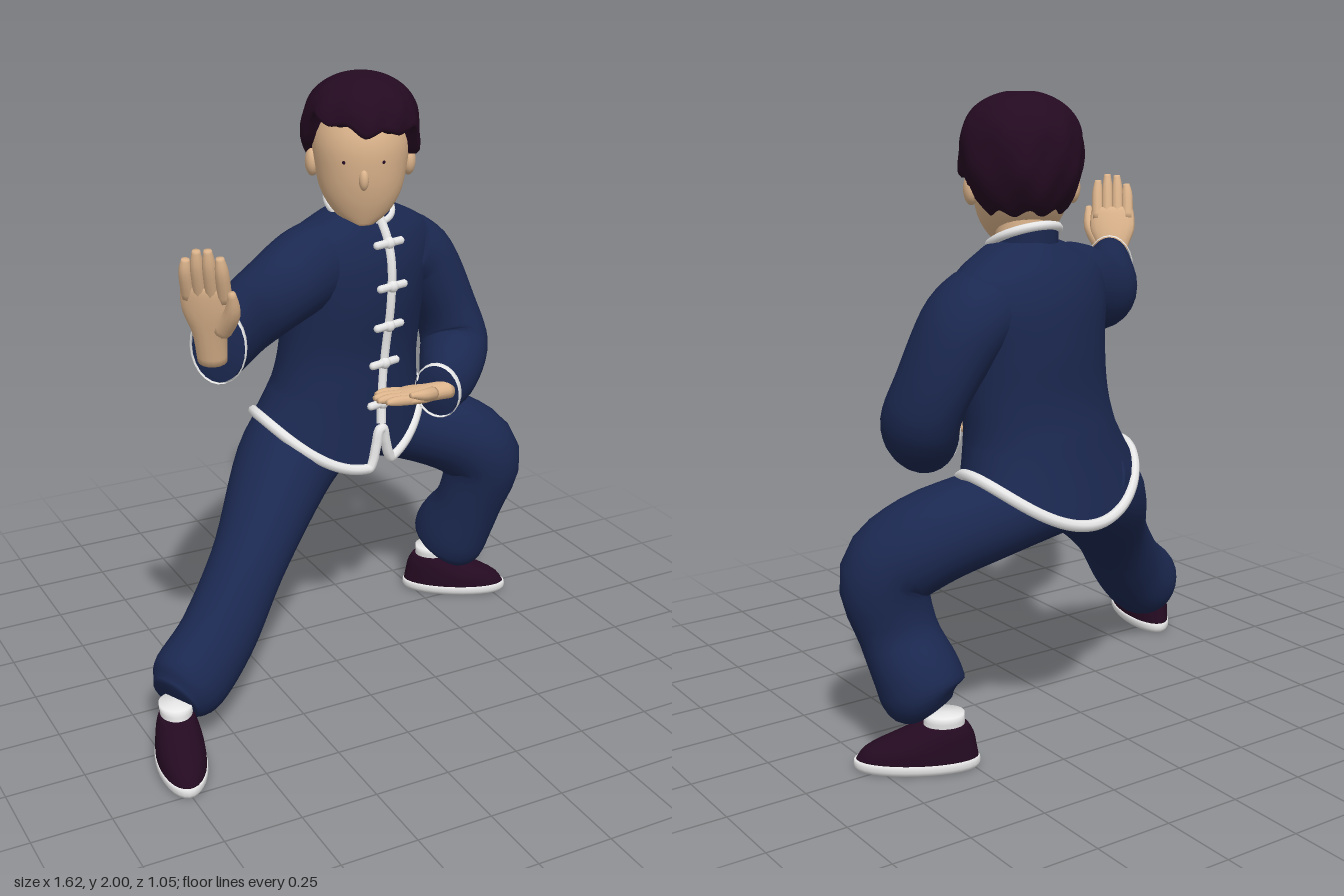
import * as THREE from 'three';

const mat = (name, color, side = THREE.FrontSide) => {
  const m = new THREE.MeshStandardMaterial({ color, side });
  m.name = name;
  return m;
};
const V = (x, y, z) => new THREE.Vector3(x, y, z);
const FRONT = -Math.PI / 2 + 0.11; // jacket opening, slightly to the left

// Catmull-Rom sampling of a table of rows, t from 0 to 1
function sample(rows, t) {
  const k = Math.min(Math.max(t, 0), 1) * (rows.length - 1);
  const i = Math.min(Math.floor(k), rows.length - 2), f = k - i;
  const at = j => rows[Math.min(Math.max(j, 0), rows.length - 1)];
  return rows[0].map((_, c) => {
    const [p, q, r, s] = [at(i - 1)[c], at(i)[c], at(i + 1)[c], at(i + 2)[c]];
    return q + 0.5 * f * (r - p + f * (2 * p - 5 * q + 4 * r - s + f * (3 * (q - r) + s - p)));
  });
}

// Closed rings joined into a smooth skin; optional caps at both ends
function skin(nu, nv, fn, caps = true) {
  const pos = [], idx = [], rings = [];
  for (let i = 0; i <= nu; i++) {
    rings.push(Array.from({ length: nv }, (_, j) => fn(i / nu, (j / nv) * Math.PI * 2)));
  }
  if (caps) {
    const closeRing = r => {
      const c = r.reduce((s, p) => s.add(p), V(0, 0, 0)).divideScalar(nv);
      return r.map(() => c.clone());
    };
    rings.unshift(closeRing(rings[0]));
    rings.push(closeRing(rings[rings.length - 1]));
  }
  rings.forEach(r => r.forEach(p => pos.push(p.x, p.y, p.z)));
  for (let i = 0; i < rings.length - 1; i++) {
    for (let j = 0; j < nv; j++) {
      const a = i * nv + j, b = i * nv + (j + 1) % nv, c = a + nv, d = b + nv;
      idx.push(a, b, c, b, d, c);
    }
  }
  const g = new THREE.BufferGeometry();
  g.setAttribute('position', new THREE.Float32BufferAttribute(pos, 3));
  g.setIndex(idx);
  g.computeVertexNormals();
  return g;
}

// Limb along rows of [x, y, z, side radius, other radius]
function limb(rows, ref, nu = 28, nv = 24, caps = true) {
  return skin(nu, nv, (t, a) => {
    const r = sample(rows, t), p = sample(rows, t - 0.02), q = sample(rows, t + 0.02);
    const T = V(q[0] - p[0], q[1] - p[1], q[2] - p[2]).normalize();
    const S = ref.clone().cross(T).normalize(), W = T.clone().cross(S);
    return V(r[0], r[1], r[2]).addScaledVector(S, Math.cos(a) * r[3]).addScaledVector(W, Math.sin(a) * r[4]);
  }, caps);
}

// Upright stack of ovals from rows of [y, centre x, centre z, radius x, radius z]
const oval = (r, a) => V(r[1] + Math.cos(a) * r[3], r[0], r[2] - Math.sin(a) * r[4]);
const stack = (rows, nu = 20, nv = 32) => skin(nu, nv, (t, a) => oval(sample(rows, t), a));

export function createModel() {
  const navy = mat('navy cloth', 0x1b2850, THREE.DoubleSide), white = mat('white trim', 0xeeeeee, THREE.DoubleSide);
  const skinTone = mat('skin', 0xdcb48c), plum = mat('dark plum', 0x240a21);
  const model = new THREE.Group();
  const add = (name, geo, material, parent = model) => {
    const m = new THREE.Mesh(geo, material);
    m.name = name;
    parent.add(m);
    return m;
  };
  const cord = (name, pts, r, closed = false) => add(name,
    new THREE.TubeGeometry(new THREE.CatmullRomCurve3(pts, closed), pts.length * 2, r, 8, closed), white);

  // Jacket body with a curved hem and a front slit
  const rows = [
    [0.80, 0.13, -0.26, 0.325, 0.26], [0.98, 0.15, -0.24, 0.285, 0.215], [1.10, 0.165, -0.23, 0.275, 0.2],
    [1.25, 0.175, -0.22, 0.28, 0.205], [1.38, 0.18, -0.215, 0.3, 0.195], [1.47, 0.18, -0.21, 0.275, 0.165],
    [1.53, 0.18, -0.2, 0.175, 0.125], [1.56, 0.18, -0.19, 0.1, 0.1]];
  const jacket = (t, a) => {
    const p = oval(sample(rows, t), a);
    const d = Math.abs(Math.atan2(Math.sin(a - FRONT), Math.cos(a - FRONT)));
    let hem = 0.885 - (Math.sin(a) < 0 ? 0.19 : 0.165) * Math.sin(a) ** 2;
    if (d < 0.13) hem = THREE.MathUtils.lerp(0.86, hem, d / 0.13);
    p.y += (hem - 0.8) * Math.max(0, 1 - t * 7);
    p.z -= 0.2 * (p.x - 0.18);
    return p;
  };
  add('jacketBody', skin(42, 144, jacket, false), navy);
  cord('hemTrim', Array.from({ length: 144 }, (_, i) => jacket(0.01, (i / 144) * Math.PI * 2)), 0.018, true);

  // Front closure with knotted fasteners
  cord('frontTrim', Array.from({ length: 16 }, (_, i) => jacket(i / 16, FRONT)), 0.017);
  [0.6, 1.67, 2.6, 3.54, 4.9].forEach(k => {
    const p = jacket(k / 7, FRONT).add(V(0, 0, 0.008));
    const bar = add('fastenerBar', new THREE.CapsuleGeometry(0.014, 0.1, 4, 8), white);
    bar.position.copy(p);
    bar.rotation.set(0, 0.25, Math.PI / 2, 'YXZ');
    const knot = add('fastenerKnot', new THREE.SphereGeometry(0.021, 10, 8), white);
    knot.position.copy(p);
  });

  // Collar, higher at the back
  const collar = (t, a) => V(0.18 + Math.cos(a) * 0.105, 1.5 + t * (0.065 + 0.045 * Math.sin(a)),
    -0.19 - Math.sin(a) * 0.105);
  add('collar', skin(4, 32, collar, false), navy);
  cord('collarTrim', Array.from({ length: 32 }, (_, i) => collar(1, (i / 32) * Math.PI * 2)), 0.014, true);
  add('neck', stack([[1.5, 0.18, -0.19, 0.09, 0.09], [1.58, 0.175, -0.18, 0.085, 0.085],
    [1.68, 0.17, -0.17, 0.09, 0.09]], 6), skinTone);

  // Sleeves with thin white cuffs around the opening
  const Y = V(0, 1, 0), Z = V(0, 0, 1);
  const sleeve = (side, arm, ref) => {
    add(side + 'Sleeve', limb(arm, ref), navy);
    const a = sample(arm, 0.965), b = arm[arm.length - 1];
    const grow = (r, s) => [r[0], r[1], r[2], r[3] + s, r[4] + s];
    const end = grow(b, 0.004);
    for (let c = 0; c < 3; c++) end[c] += (b[c] - a[c]) * 0.4;
    add(side + 'Cuff', limb([grow(a, 0.005), grow(b, 0.008), end], ref, 6, 24, false), white);
  };
  sleeve('right', [[0.1, 1.41, -0.2, 0.13, 0.13], [-0.05, 1.385, -0.13, 0.13, 0.14],
    [-0.2, 1.345, -0.05, 0.12, 0.125], [-0.35, 1.335, 0.08, 0.1, 0.12],
    [-0.47, 1.345, 0.23, 0.085, 0.12], [-0.55, 1.35, 0.33, 0.077, 0.108]], Y);
  sleeve('left', [[0.36, 1.38, -0.25, 0.13, 0.15], [0.45, 1.32, -0.26, 0.125, 0.15],
    [0.535, 1.15, -0.23, 0.105, 0.14], [0.55, 1.03, -0.18, 0.11, 0.13],
    [0.47, 0.955, -0.08, 0.105, 0.1], [0.375, 0.94, 0.01, 0.09, 0.072]], Z);

  // Hands: fingers along local y, palm towards local z
  const hand = (name, wrist, dir, palm, thumb, size) => {
    const g = new THREE.Group();
    g.name = name;
    const y = dir.normalize(), x = y.clone().cross(palm).normalize(), z = x.clone().cross(y);
    g.quaternion.setFromRotationMatrix(new THREE.Matrix4().makeBasis(x, y, z));
    g.position.copy(wrist);
    g.scale.setScalar(size);
    add('palm', limb([[0, -0.06, 0, 0.036, 0.042], [0, 0.03, 0, 0.034, 0.05], [0, 0.1, 0, 0.03, 0.075],
      [0, 0.16, 0, 0.022, 0.074], [0, 0.18, 0, 0.014, 0.066]], V(1, 0, 0), 14, 16), skinTone, g);
    [0.115, 0.135, 0.13, 0.1].forEach((len, i) => {
      const fx = thumb * (0.051 - i * 0.034);
      add('finger', limb([[fx, 0.14, 0, 0.02, 0.02], [fx, 0.16 + len * 0.6, 0.006, 0.02, 0.019],
        [fx * 0.95, 0.16 + len, 0.004, 0.01, 0.011]], V(1, 0, 0), 8, 10), skinTone, g);
    });
    add('thumb', limb([[thumb * 0.04, 0.05, 0.01, 0.027, 0.027], [thumb * 0.078, 0.12, 0.025, 0.023, 0.023],
      [thumb * 0.085, 0.19, 0.035, 0.01, 0.01]], Z, 8, 10), skinTone, g);
    model.add(g);
  };
  hand('rightHand', V(-0.58, 1.375, 0.35), V(-0.15, 1, 0.22), V(-0.67, 0, 0.74), 1, 1.04);
  hand('leftHand', V(0.36, 0.95, 0.03), V(-1, 0.07, 0.1), V(0, 1, 0), -1, 0.84);

  // Trousers
  add('rightTrouserLeg', limb([[0.06, 0.82, -0.25, 0.165, 0.205], [-0.1, 0.715, -0.17, 0.165, 0.18],
    [-0.33, 0.5, 0.03, 0.125, 0.13], [-0.5, 0.31, 0.145, 0.128, 0.118],
    [-0.63, 0.2, 0.2, 0.13, 0.118], [-0.685, 0.165, 0.225, 0.085, 0.085]], Z), navy);
  add('leftTrouserLeg', limb([[0.15, 0.8, -0.27, 0.15, 0.17], [0.36, 0.75, -0.27, 0.14, 0.155],
    [0.56, 0.68, -0.21, 0.143, 0.16], [0.67, 0.58, -0.165, 0.14, 0.14], [0.645, 0.41, -0.19, 0.123, 0.115],
    [0.615, 0.28, -0.25, 0.13, 0.145], [0.605, 0.215, -0.28, 0.122, 0.135],
    [0.59, 0.18, -0.3, 0.07, 0.075]], Z), navy);

  // Shoes with white soles and socks
  const shoe = (side, x, z, yaw) => {
    const g = new THREE.Group();
    g.name = side + 'Shoe';
    g.position.set(x, 0, z);
    g.rotation.y = yaw;
    add('sole', stack([[0, 0, 0, 0.07, 0.182], [0.015, 0, 0, 0.08, 0.192], [0.035, 0, 0, 0.078, 0.189]], 4), white, g);
    add('upper', stack([[0.03, 0, 0, 0.077, 0.187], [0.07, 0, -0.012, 0.075, 0.168],
      [0.11, 0, -0.05, 0.066, 0.122], [0.14, 0, -0.075, 0.054, 0.08]], 10), plum, g);
    add('sock', stack([[0.1, 0, -0.08, 0.048, 0.065], [0.175, 0, -0.085, 0.054, 0.06]], 3), white, g);
    model.add(g);
  };
  shoe('right', -0.715, 0.335, -0.25);
  shoe('left', 0.642, -0.285, 1.03);

  // Head turned towards the raised hand
  const head = new THREE.Group();
  head.name = 'head';
  head.position.set(0.168, 0, -0.158);
  head.rotation.y = -0.42;
  model.add(head);
  add('face', stack([[1.525, 0, 0.07, 0.04, 0.035], [1.56, 0, 0.048, 0.088, 0.072], [1.62, 0, 0.02, 0.128, 0.12],
    [1.7, 0, 0, 0.148, 0.155], [1.8, 0, -0.01, 0.157, 0.165], [1.9, 0, -0.02, 0.13, 0.13],
    [1.95, 0, -0.02, 0.05, 0.05]]), skinTone, head);
  const blob = (name, material, p, s) => {
    const m = add(name, new THREE.SphereGeometry(1, 16, 12), material, head);
    m.position.set(...p);
    m.scale.set(...s);
  };
  blob('nose', skinTone, [0, 1.685, 0.15], [0.016, 0.034, 0.02]);
  [-1, 1].forEach(s => {
    blob('ear', skinTone, [s * 0.155, 1.71, -0.015], [0.024, 0.048, 0.036]);
    blob('eye', plum, [s * 0.058, 1.74, 0.142], [0.01, 0.008, 0.004]);
  });

  // Hair cap: short swept fringe in front, lower over the nape, gently tousled
  const step = THREE.MathUtils.smoothstep;
  add('hair', skin(24, 84, (t, a) => {
    const f = -Math.sin(a);
    const edge = 1.645 + 0.105 * step(f, -0.4, 0.05) + 0.085 * step(f, 0.15, 0.55)
      + 0.05 * Math.max(0, -Math.cos(a)) * step(f, -0.2, 0.3) + 0.01 * Math.sin(a * 9);
    const u = Math.max(0, (t - 0.1) / 0.9);
    const y = edge + (1.995 - edge) * Math.sin(u * Math.PI / 2);
    const h = (y - 1.8) / 0.2;
    let r = h > 0 ? Math.sqrt(Math.max(0, 1 - Math.abs(h) ** 2.8)) : 1 - 0.48 * h * h;
    r *= 1 + (0.025 * Math.sin(a * 7 + y * 20) + 0.02 * Math.sin(a * 12 - y * 30)) * (1 - u);
    if (t < 0.1) r *= 0.78 + 2.2 * t;
    return V(Math.cos(a) * 0.188 * r, y, 0.002 - Math.sin(a) * 0.204 * r);
  }), plum, head);
  return model;
}
